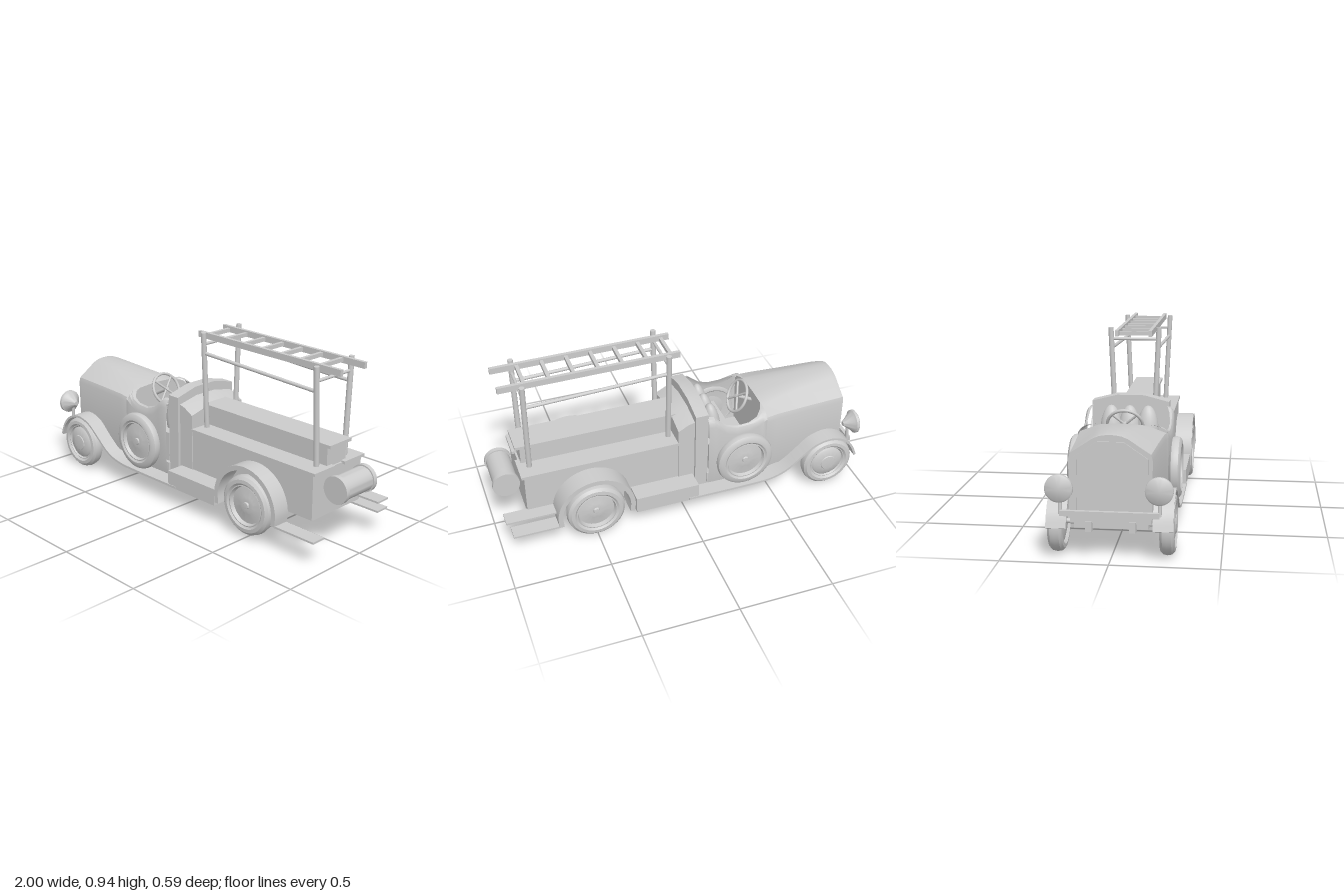
import * as THREE from 'three';
import { toCreasedNormals } from 'three/addons/utils/BufferGeometryUtils.js';

const grey = new THREE.MeshStandardMaterial({ color: 0xcccccc, side: THREE.DoubleSide });
const V = (x, y, z) => new THREE.Vector3(x, y, z);

export function createModel() {
  const model = new THREE.Group();
  const add = (name, geo, parent = model) => {
    const m = new THREE.Mesh(geo, grey);
    m.name = name;
    parent.add(m);
    return m;
  };
  // Box from its limits
  const box = (name, x0, x1, y0, y1, z0, z1) =>
    add(name, new THREE.BoxGeometry(x1 - x0, y1 - y0, z1 - z0)).position.set((x0 + x1) / 2, (y0 + y1) / 2, (z0 + z1) / 2);
  // Round bar between two points
  const bar = (name, a, b, r, parent = model) => {
    const m = add(name, new THREE.CylinderGeometry(r, r, a.distanceTo(b), 12), parent);
    m.position.copy(a).lerp(b, 0.5);
    m.quaternion.setFromUnitVectors(V(0, 1, 0), b.clone().sub(a).normalize());
  };
  // Skin over symmetric sections [x, half profile of [z, y] from bottom to top]
  const loft = (name, sections, closed = true) => {
    const pos = [], idx = [];
    const rings = sections.map(([x, half]) => [
      ...half.map(([z, y]) => [x, y, z]),
      ...half.slice().reverse().map(([z, y]) => [x, y, -z])]);
    const n = rings[0].length;
    rings.forEach(r => r.forEach(p => pos.push(...p)));
    for (let i = 0; i < rings.length - 1; i++)
      for (let j = 0; j < (closed ? n : n - 1); j++) {
        if (!closed && j === n / 2 - 1) continue;
        const a = i * n + j, b = i * n + (j + 1) % n;
        idx.push(a, a + n, b, b, a + n, b + n);
      }
    if (closed) for (const [k, flip] of [[0, false], [rings.length - 1, true]])
      for (let j = 1; j < n - 1; j++) {
        const a = k * n, b = a + j, c = b + 1;
        idx.push(a, ...(flip ? [c, b] : [b, c]));
      }
    const g = new THREE.BufferGeometry();
    g.setAttribute('position', new THREE.Float32BufferAttribute(pos, 3));
    g.setIndex(idx);
    add(name, toCreasedNormals(g, 0.5));
  };
  // Bent sheet following a side-view path, from z0 to z1
  const sheet = (name, pts, t, z0, z1) => {
    const c = new THREE.SplineCurve(pts.map(p => new THREE.Vector2(...p)));
    const outer = [], inner = [];
    for (let i = 0; i <= 40; i++) {
      const p = c.getPoint(i / 40), d = c.getTangent(i / 40);
      outer.push(p);
      inner.unshift(new THREE.Vector2(p.x + d.y * t, p.y - d.x * t));
    }
    const g = new THREE.ExtrudeGeometry(new THREE.Shape([...outer, ...inner]), { depth: z1 - z0, bevelEnabled: false });
    g.translate(0, 0, z0);
    add(name, toCreasedNormals(g, 0.6));
  };
  const lathe = pts => toCreasedNormals(new THREE.LatheGeometry(pts.map(p => new THREE.Vector2(...p)), 40), 0.6);
  // Disc profiles as [radius, offset] fractions, from the rim inwards
  const dished = [[.7, .75], [.66, .8], [.62, .2], [.3, .4], [.26, .45], [.12, .45], [.1, .7], [0, .75]];
  const domed = [[.7, .7], [.66, .75], [.62, .5], [.55, .75], [.3, .95], [.28, 1.05], [0, 1.1]];
  // Wheel with tyre and disc facing outward on the given side
  const wheel = (name, x, y, z, r, w, side, disc) => {
    const g = new THREE.Group();
    g.name = name;
    const h = w / 2;
    add('tyre', lathe([[r * .68, -h * .7], [r * .76, -h], [r * .88, -h * .95], [r * .97, -h * .6], [r, 0],
      [r * .97, h * .6], [r * .88, h * .95], [r * .76, h], [r * .68, h * .7]]), g);
    add('disc', lathe([[0, -h], [r * .4, -h * .9], [r * .7, -h * .6], ...disc.map(([a, b]) => [r * a, h * b])]), g);
    g.rotation.x = side * Math.PI / 2;
    g.position.set(x, y, z * side);
    model.add(g);
  };

  // Bonnet with upright sides, sloping top panels and angular front
  const hood = (w, base, shoulder, top, flat) => [[w * .97, base], [w, base + .06], [w, shoulder - .025],
    [w * .96, shoulder], [flat + .03, top - .017], [flat, top - .005], [flat * .4, top]];
  loft('bonnet', [
    [-.922, hood(.19, .17, .495, .58, .05)], [-.9, hood(.192, .17, .495, .583, .05)],
    [-.7, hood(.203, .165, .495, .566, .07)], [-.52, hood(.216, .16, .495, .545, .1)],
    [-.46, hood(.222, .15, .49, .53, .12)]]);
  const face = [[-.17, .2], [.17, .2], [.17, .475], [.06, .55], [-.06, .55], [-.17, .475]].map(p => new THREE.Vector2(...p));
  const frame = new THREE.Shape(face);
  frame.holes.push(new THREE.Path(face.map(p => new THREE.Vector2(p.x * .9, .37 + (p.y - .37) * .92))));
  const grille = add('radiatorFrame', new THREE.ExtrudeGeometry(frame, { depth: .008, bevelEnabled: false }));
  grille.rotation.y = Math.PI / 2;
  grille.position.x = -.928;

  // Open cab with scooped sides and rolled rim
  const tub = (rim, w, inset) => [[w * .95, .14], [w, .22], [w, rim - .045], [w - inset * .2, rim - .02],
    [w - inset * .5, rim - .006], [w - inset, rim]];
  loft('cabSides', [[-.46, tub(.53, .222, .1)], [-.44, tub(.52, .224, .06)], [-.41, tub(.5, .226, .03)],
    [-.36, tub(.483, .228, .02)], [-.29, tub(.48, .23, .02)], [-.23, tub(.5, .23, .02)],
    [-.19, tub(.535, .23, .025)], [-.165, tub(.558, .23, .035)], [-.13, tub(.56, .228, .04)]], false);
  box('cabFloor', -.47, -.13, .14, .2, -.21, .21);
  box('seatCushion', -.32, -.15, .2, .36, -.19, .19);
  for (const z of [-.095, 0, .095]) {
    const pad = add('seatBack', new THREE.SphereGeometry(1, 20, 14));
    pad.scale.set(.045, .135, .056);
    pad.position.set(-.195, .435, z);
    pad.rotation.z = -.12;
  }
  // Steering wheel
  const steering = new THREE.Group();
  steering.name = 'steeringWheel';
  add('rim', new THREE.TorusGeometry(.088, .008, 10, 32), steering);
  for (let i = 0; i < 4; i++) {
    const a = i * Math.PI / 2 + Math.PI / 4;
    bar('spoke', V(0, 0, 0), V(Math.cos(a) * .085, Math.sin(a) * .085, 0), .006, steering);
  }
  bar('column', V(0, 0, .01), V(0, 0, -.1), .01, steering);
  steering.rotation.y = Math.PI / 2;
  const tilt = new THREE.Group();
  tilt.name = 'steering';
  tilt.add(steering);
  tilt.rotation.z = .48;
  tilt.position.set(-.378, .51, 0);
  model.add(tilt);

  // Arched bulkhead behind the cab and its sloping shroud
  const arch = (w, s, t) => [[w, .12], [w, s], [w * .35, t]];
  loft('bulkhead', [[-.135, arch(.2, .58, .613)], [-.065, arch(.2, .58, .613)]]);
  loft('shroud', [[-.065, arch(.185, .54, .565)], [-.03, arch(.185, .53, .555)], [.025, arch(.185, .5, .53)]]);

  // Rear body, ledges and central locker
  box('rearBody', .02, .845, .18, .42, -.18, .18);
  for (const s of [-1, 1]) box('sideLedge', .02, .86, .412, .427, s > 0 ? .035 : -.187, s > 0 ? .187 : -.035);
  box('locker', 0, .835, .42, .525, -.07, .07);
  box('lockerLid', -.01, .86, .522, .538, -.08, .08);

  // Hose drum
  const drum = add('hoseDrum', lathe([[0, -.115], [.07, -.115], [.07, -.092], [.063, -.092],
    [.063, .092], [.07, .092], [.07, .115], [0, .115]]));
  drum.rotation.x = Math.PI / 2;
  drum.position.set(.927, .343, 0);

  // Ladder gantry and ladder
  for (const x of [.055, .8]) {
    for (const s of [-1, 1]) bar('gantryPost', V(x, .42, s * .105), V(x, .94 - (x > .5 ? .015 : 0), s * .128), .014);
    bar('gantryCrossbar', V(x, x > .5 ? .853 : .88, -.125), V(x, x > .5 ? .853 : .88, .125), .008);
  }
  for (const s of [-1, 1]) {
    bar('gantrySideRail', V(.055, .832, s * .122), V(.8, .802, s * .122), .009);
    const rail = add('ladderRail', new THREE.BoxGeometry(.93, .032, .018));
    rail.position.set(.45, .913, s * .088);
    rail.rotation.z = -.007;
  }
  for (let i = 0; i < 7; i++) {
    const x = .03 + i * .125;
    box('ladderRung', x - .009, x + .009, .902, .922, -.085, .085);
  }

  // Chassis
  box('chassisFloor', -.9, .5, .14, .175, -.17, .17);
  box('chassisBeam', -.05, .72, .105, .165, -.055, .055);
  for (const s of [-1, 1]) {
    box('chassisRail', -.93, .5, .13, .18, s * .1 - .015, s * .1 + .015);
    bar('rearAxleTube', V(.505, .145, 0), V(.505, .175, s * .25), .012);
    bar('frontAxleTube', V(-.815, .13, 0), V(-.815, .147, s * .25), .012);
  }
  box('frontBar', -.975, -.955, .215, .24, -.225, .225);

  for (const s of [-1, 1]) {
    const span = (a, b) => s > 0 ? [a, b] : [-b, -a];
    wheel('frontWheel', -.815, .147, .255, .145, .07, s, domed);
    wheel('rearWheel', .505, .178, .257, .156, .07, s, dished);
    wheel('spareWheel', -.325, .285, .252, .157, .058, s, dished);

    // Swept front wing running into the running board
    sheet('frontWing', [[-.985, .16], [-.955, .23], [-.9, .285], [-.82, .31], [-.73, .292], [-.65, .235],
      [-.56, .165], [-.46, .132], [-.3, .125], [0, .125]], .012, ...span(.195, .288));
    box('toolbox', -.055, .29, .11, .2, ...span(.18, .285));
    // Rear wing and its tail board
    const arc = [];
    for (let i = 0; i <= 12; i++) {
      const a = Math.PI * (1.07 - i / 12 * 1.14);
      arc.push([.505 + .207 * Math.cos(a), .18 + .207 * Math.sin(a)]);
    }
    sheet('rearWing', arc, .025, ...span(s > 0 ? .2 : .17, .292));
    box('tailBoard', .7, .945, .128, .138, ...span(.205, .285));

    // Headlamp
    const lamp = add('headlamp', lathe([[0, 0], [.012, 0], [.025, .018], [.052, .05], [.064, .058], [.064, .072], [.056, .078], [0, .085]]));
    lamp.rotation.z = Math.PI / 2;
    lamp.position.set(-.915, .345, s * .225);
    bar('headlampStem', V(-.945, .33, s * .225), V(-.955, .22, s * .225), .009);
  }
  // Raised step on one side only
  box('rearStep', .7, .97, .197, .207, -.25, -.17);
  return model;
}
